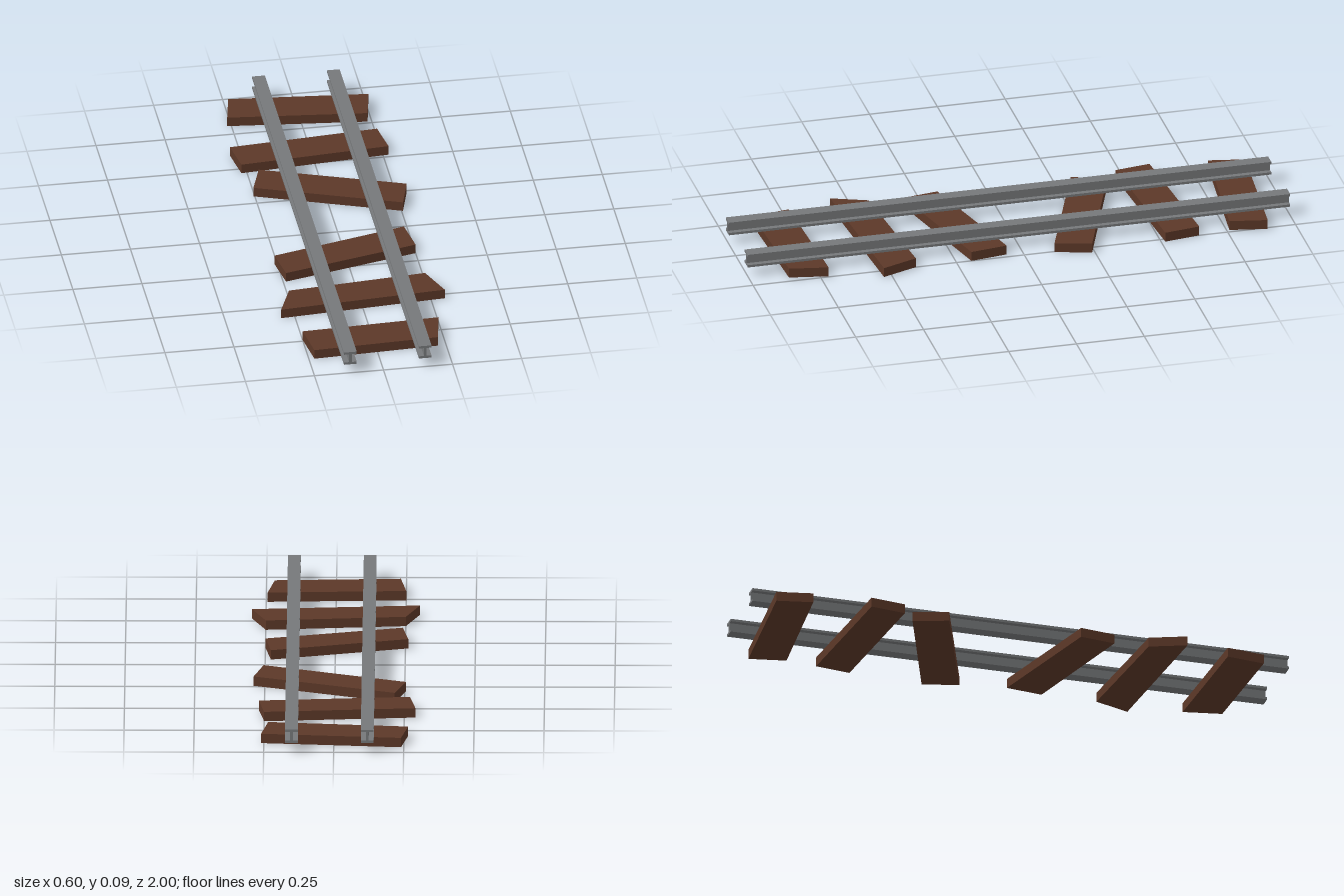
import * as THREE from 'three';

const TIE_HEIGHT = 0.035;

// Extruded polygon from a list of [x, y] corners
function prism(corners, depth) {
  const shape = new THREE.Shape(corners.map(([x, y]) => new THREE.Vector2(x, y)));
  return new THREE.ExtrudeGeometry(shape, { depth, bevelEnabled: false });
}

export function createModel() {
  const model = new THREE.Group();
  model.name = 'railwayTrack';
  const wood = new THREE.MeshStandardMaterial({ color: 0x5c3828, flatShading: true });
  const steel = new THREE.MeshStandardMaterial({ color: 0x76787a, flatShading: true });

  // Crooked wooden ties: plan corners [x, z], back to front
  const ties = [
    [[-0.24, -0.94], [0.26, -0.895], [0.235, -0.76], [-0.265, -0.81]],
    [[-0.29, -0.6], [0.25, -0.645], [0.27, -0.515], [-0.27, -0.47]],
    [[-0.215, -0.425], [0.29, -0.24], [0.255, -0.11], [-0.255, -0.3]],
    [[-0.26, 0.19], [0.23, 0.06], [0.25, 0.195], [-0.24, 0.32]],
    [[-0.25, 0.445], [0.25, 0.4], [0.3, 0.53], [-0.3, 0.575]],
    [[-0.25, 0.74], [0.245, 0.72], [0.22, 0.86], [-0.23, 0.88]],
  ];
  ties.forEach((corners, i) => {
    const geometry = prism(corners, TIE_HEIGHT).rotateX(Math.PI / 2);
    const tie = new THREE.Mesh(geometry, wood);
    tie.name = `tie${i + 1}`;
    tie.position.y = TIE_HEIGHT;
    model.add(tie);
  });

  // I-section rails running the full length
  const half = 0.023, web = 0.005, flange = 0.009, height = 0.05;
  const rightSide = [[half, 0], [half, flange], [web, flange],
    [web, height - flange], [half, height - flange], [half, height]];
  const leftSide = rightSide.map(([x, y]) => [-x, y]).reverse();
  const railGeometry = prism([...rightSide, ...leftSide], 2).translate(0, 0, -1);
  for (const [name, x] of [['rightRail', -0.12], ['leftRail', 0.151]]) {
    const rail = new THREE.Mesh(railGeometry, steel);
    rail.name = name;
    rail.position.set(x, TIE_HEIGHT, 0);
    model.add(rail);
  }
  return model;
}
